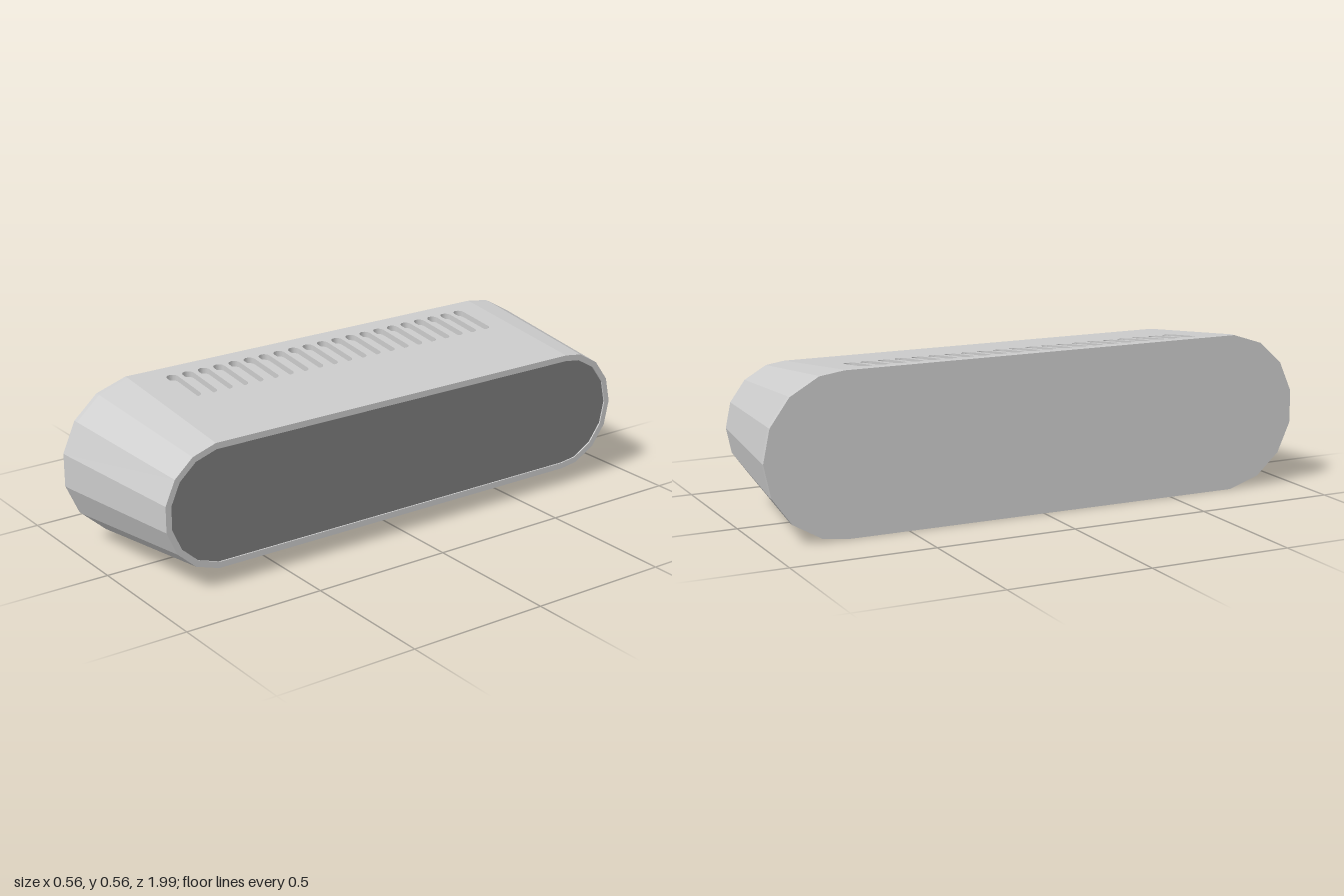
import * as THREE from 'three';

const MID_Y = 0.279, END_Z = 0.72;   // height of the axis, centres of the rounded ends
const R_WIDE = 0.2805, R_NARROW = 0.2175, R_PANEL = 0.196;
const X_BACK = -0.28, X_BAND = -0.262, X_FRONT = 0.28, X_PANEL = 0.275;
const FLAT = Math.cos(Math.PI / 30); // half height of the flat sides relative to the radius

// Faceted pill-shaped outline at one x, running top -> front end -> bottom -> rear end
function ring(x, r) {
  const pts = [];
  const add = (deg, side) => {
    const a = THREE.MathUtils.degToRad(deg);
    pts.push(new THREE.Vector3(x, MID_Y + r * Math.cos(a), side * (END_Z + r * Math.sin(a))));
  };
  for (let d = 6; d <= 174; d += 24) add(d, 1);
  pts.push(new THREE.Vector3(x, MID_Y - r * FLAT, -END_Z));
  for (let d = 162; d >= 18; d -= 24) add(d, -1);
  pts.push(new THREE.Vector3(x, MID_Y + r * FLAT, -END_Z));
  return pts;
}

// Wall between two outlines; the last segment is the flat top
function bridge(tris, a, b, withTop = true) {
  const n = a.length;
  for (let j = 0; j < (withTop ? n : n - 1); j++) {
    const k = (j + 1) % n;
    tris.push(a[j], a[k], b[j], a[k], b[k], b[j]);
  }
}

// Flat cap filling an outline
function cap(tris, a, flip) {
  const c = new THREE.Vector3(a[0].x, MID_Y, 0);
  a.forEach((p, j) => {
    const q = a[(j + 1) % a.length];
    if (flip) tris.push(q, p, c); else tris.push(p, q, c);
  });
}

function mesh(name, geometry, material) {
  const m = new THREE.Mesh(geometry, material);
  m.name = name;
  return m;
}

function fromTriangles(tris) {
  const g = new THREE.BufferGeometry().setFromPoints(tris);
  g.computeVertexNormals();
  return g;
}

// Lay a flat geometry onto the sloping top, sunk by the given amount
function layOnTop(g, sink) {
  g.rotateX(-Math.PI / 2);
  const p = g.attributes.position;
  const slope = (R_NARROW - R_WIDE) / (X_FRONT - X_BAND);
  for (let i = 0; i < p.count; i++) {
    const r = R_WIDE + slope * (p.getX(i) - X_BAND);
    p.setY(i, p.getY(i) + MID_Y + r * FLAT - sink);
  }
  g.computeVertexNormals();
  return g;
}

export function createModel() {
  const group = new THREE.Group();
  const grey = new THREE.MeshStandardMaterial({ color: 0xcccccc, flatShading: true });
  const dark = new THREE.MeshStandardMaterial({ color: 0x7c7c7c, flatShading: true });

  // Tapered housing with a straight band at the wide end and a rim at the narrow end
  const back = ring(X_BACK, R_WIDE), band = ring(X_BAND, R_WIDE);
  const front = ring(X_FRONT, R_NARROW), rim = ring(X_FRONT, R_PANEL);
  const recess = ring(X_PANEL, R_PANEL);
  const shell = [];
  cap(shell, back, true);
  bridge(shell, back, band);
  bridge(shell, band, front, false);
  bridge(shell, front, rim);
  bridge(shell, rim, recess);
  group.add(mesh('housing', fromTriangles(shell), grey));

  // Dark panel set just inside the rim
  const face = [];
  cap(face, recess, false);
  group.add(mesh('facePanel', fromTriangles(face), dark));

  // Top plate with a row of rounded vent slots
  const top = new THREE.Shape([band[0], front[0], front.at(-1), band.at(-1)]
    .map(p => new THREE.Vector2(p.x, -p.z)));
  const r = 0.021, x0 = -0.219 + r, x1 = -0.036 - r, depth = 0.02;
  for (let i = -10; i <= 10; i++) {
    const y = i * 0.0614;
    const slot = new THREE.Path();
    slot.absarc(x1, y, r, -Math.PI / 2, Math.PI / 2, false);
    slot.absarc(x0, y, r, Math.PI / 2, Math.PI * 1.5, false);
    slot.closePath();
    top.holes.push(slot);
  }
  const plate = new THREE.ExtrudeGeometry(top, { depth, bevelEnabled: false, curveSegments: 8 });
  group.add(mesh('ventedTop', layOnTop(plate, depth), grey));

  // Floor beneath the vent slots
  const floor = new THREE.PlaneGeometry(0.2, 1.3).translate(-0.1275, 0, 0);
  group.add(mesh('ventFloor', layOnTop(floor, depth), grey));

  return group;
}
